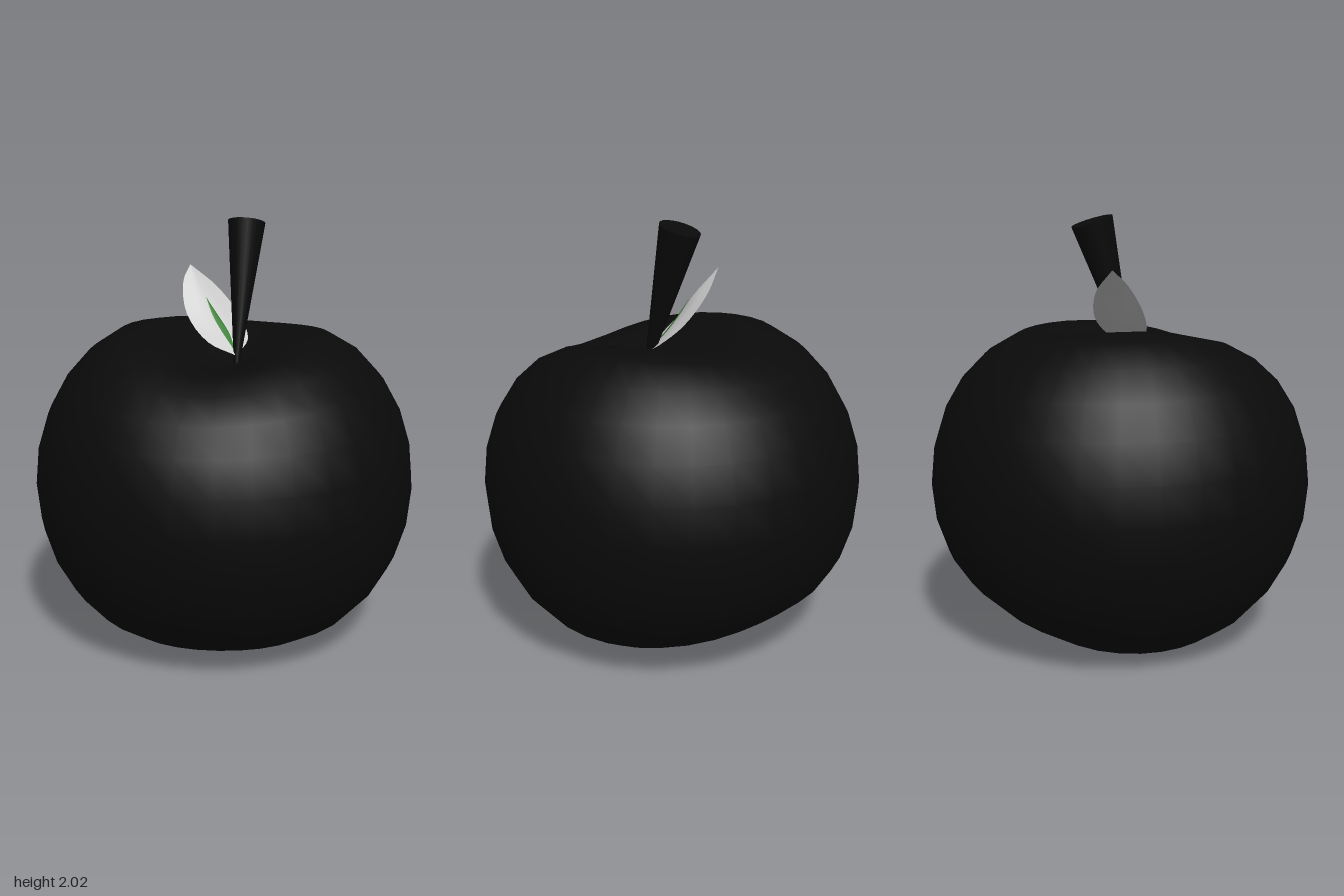
import * as THREE from 'three';
import { mergeVertices } from 'three/addons/utils/BufferGeometryUtils.js';

const V = (x, y, z) => new THREE.Vector3(x, y, z);
const curve = (...pts) => new THREE.CatmullRomCurve3(pts.map(p => V(...p)));

function material(color, side = THREE.FrontSide) {
  return new THREE.MeshStandardMaterial({ color, side });
}

// Soft round hollow, a little longer from front to back
function hollow(x, z, cx, cz, depth) {
  const d = Math.hypot(x - cx, (z - cz) * 0.7);
  return depth * Math.exp(-Math.pow(d / 0.32, 1.5));
}

// Sphere with a hollow pressed into the top and the bottom
function makeFruit() {
  let geo = new THREE.SphereGeometry(0.91, 32, 16);
  const pos = geo.attributes.position;
  for (let i = 0; i < pos.count; i++) {
    const x = pos.getX(i), y = pos.getY(i), z = pos.getZ(i);
    const h = y / 0.91;
    const fade = THREE.MathUtils.smoothstep(Math.abs(h), 0.1, 0.7);
    const shift = h > 0 ? -hollow(x, z, 0.03, 0.1, 0.36) : hollow(x, z, 0.05, -0.12, 0.3);
    pos.setY(i, y + shift * fade + 0.75);
  }
  geo.deleteAttribute('uv');
  geo.deleteAttribute('normal');
  geo = mergeVertices(geo, 1e-4);
  geo.computeVertexNormals();
  const mesh = new THREE.Mesh(geo, material(0x0a0a0a));
  mesh.name = 'fruitBody';
  return mesh;
}

// Tapered stem leaning to the back
function makeStem() {
  const foot = V(0.08, 1.3, 0.09), top = V(0.08, 1.97, -0.11);
  const axis = top.clone().sub(foot);
  const geo = new THREE.CylinderGeometry(0.087, 0.01, axis.length(), 20);
  geo.scale(1, 1, 1.18);
  const mesh = new THREE.Mesh(geo, material(0x0a0a0a));
  mesh.position.copy(foot).add(top).multiplyScalar(0.5);
  mesh.quaternion.setFromUnitVectors(V(0, 1, 0), axis.normalize());
  mesh.name = 'stem';
  return mesh;
}

// Surface through rows of points
function loft(rows) {
  const n = rows[0].length, index = [];
  for (let i = 0; i < rows.length - 1; i++) {
    for (let j = 0; j < n - 1; j++) {
      const a = i * n + j, b = a + 1, c = a + n, d = c + 1;
      index.push(a, b, c, b, d, c);
    }
  }
  const geo = new THREE.BufferGeometry().setFromPoints(rows.flat());
  geo.setIndex(index);
  geo.computeVertexNormals();
  return geo;
}

// Leaf spanned between two edges and a midrib, with a green vein
function makeLeaf() {
  const edgeA = curve([0.08, 1.37, 0.09], [-0.05, 1.43, 0.11], [-0.17, 1.55, 0.05], [-0.215, 1.69, -0.05], [-0.2, 1.76, -0.12]);
  const edgeB = curve([0.08, 1.37, 0.09], [0.11, 1.43, -0.02], [0.05, 1.52, -0.11], [-0.07, 1.65, -0.15], [-0.2, 1.76, -0.12]);
  const rib = curve([0.08, 1.37, 0.09], [0.02, 1.45, 0.03], [-0.05, 1.54, -0.005], [-0.11, 1.63, -0.04], [-0.2, 1.76, -0.12]);
  const lift = V(0.53, 0.65, 0.54).multiplyScalar(0.006);
  const blade = [], vein = [];
  for (let i = 0; i <= 16; i++) {
    const t = i / 16;
    const a = edgeA.getPoint(t), m = rib.getPoint(t), b = edgeB.getPoint(t);
    blade.push([a, a.clone().lerp(m, 0.5), m, m.clone().lerp(b, 0.5), b]);
    const s = t * 0.72;
    const w = 0.14 * Math.sin(Math.PI * (0.15 + 0.85 * t));
    const r = rib.getPoint(s);
    vein.push([r.clone().lerp(edgeA.getPoint(s), w), r.clone(), r.clone().lerp(edgeB.getPoint(s), w)]
      .map(p => p.add(lift)));
  }
  const leaf = new THREE.Group();
  leaf.name = 'leaf';
  const bladeMesh = new THREE.Mesh(loft(blade), material(0xcccccc, THREE.DoubleSide));
  bladeMesh.name = 'leafBlade';
  const veinMesh = new THREE.Mesh(loft(vein), material(0x2a7a22, THREE.DoubleSide));
  veinMesh.name = 'leafVein';
  leaf.add(bladeMesh, veinMesh);
  return leaf;
}

export function createModel() {
  const model = new THREE.Group();
  model.name = 'apple';
  model.add(makeFruit(), makeStem(), makeLeaf());
  return model;
}
